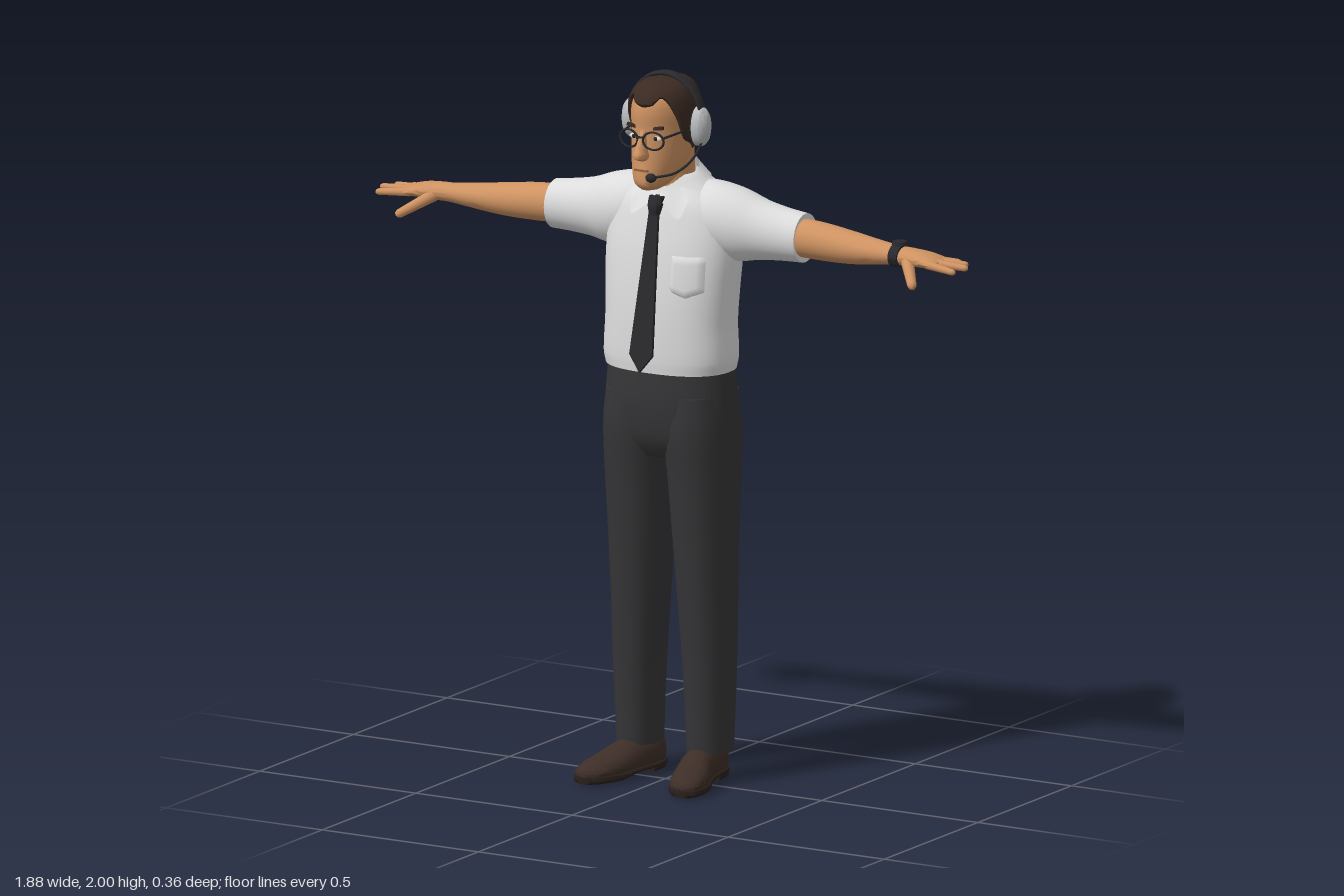
import * as THREE from 'three';
import { toCreasedNormals } from 'three/addons/utils/BufferGeometryUtils.js';

const mat = (name, color, side = THREE.FrontSide) => {
  const m = new THREE.MeshStandardMaterial({ color, side });
  m.name = name;
  return m;
};

// Smooth interpolation of a table whose first column is the parameter
function at(rows, s) {
  let i = 0;
  while (i < rows.length - 2 && s > rows[i + 1][0]) i++;
  const a = rows[i], b = rows[i + 1], p = rows[i - 1] || a, q = rows[i + 2] || b;
  const h = b[0] - a[0], t = Math.min(1, Math.max(0, (s - a[0]) / h)), t2 = t * t, t3 = t2 * t;
  return a.map((_, k) => {
    const m0 = (b[k] - p[k]) / (b[0] - p[0]) * h, m1 = (q[k] - a[k]) / (q[0] - a[0]) * h;
    return (2 * t3 - 3 * t2 + 1) * a[k] + (t3 - 2 * t2 + t) * m0 + (3 * t2 - 2 * t3) * b[k] + (t3 - t2) * m1;
  });
}

// Grid of points fn(u, v); closed joins the u ends
function grid(fn, nu, nv, closed = false) {
  const pos = [], idx = [], w = closed ? nu : nu + 1;
  for (let j = 0; j <= nv; j++) for (let i = 0; i < w; i++) pos.push(...fn(i / nu, j / nv));
  for (let j = 0; j < nv; j++) for (let i = 0; i < nu; i++) {
    const a = j * w + i, b = j * w + (i + 1) % w;
    idx.push(a, b, a + w, b, b + w, a + w);
  }
  const g = new THREE.BufferGeometry();
  g.setAttribute('position', new THREE.Float32BufferAttribute(pos, 3));
  g.setIndex(idx);
  return toCreasedNormals(g, 1.0);
}

// Capped body through oval sections [s, centreA, centreB, radiusA, radiusB] along an axis
function body(rows, axis, { n = 2, lo = -1, seg = 28 } = {}) {
  const rings = [], steps = (rows.length - 1) * 4;
  for (let k = 0; k < rows.length - 1; k++)
    for (let j = 0; j < 4; j++) rings.push(at(rows, rows[k][0] + (rows[k + 1][0] - rows[k][0]) * j / 4));
  rings.push(rows[rows.length - 1]);
  const cap = r => [r[0], r[1], r[2], 0, 0];
  rings.unshift(cap(rings[0]));
  rings.push(cap(rings[steps + 1]));
  const pw = c => Math.sign(c) * Math.pow(Math.abs(c), 2 / n);
  return grid((u, v) => {
    const [s, a, b, ra, rb] = rings[Math.round(v * (steps + 2))], t = u * Math.PI * 2;
    const c = pw(Math.cos(t)), d = pw(Math.sin(t));
    const p = axis === 'y' ? [a + ra * d, s, b + rb * c]
      : axis === 'x' ? [s, a + ra * c, b + rb * d] : [a + ra * c, b + rb * d, s];
    p[1] = Math.max(p[1], lo);
    return p;
  }, seg, steps + 2, true);
}

// Rounded tapering rod between two points
function rod(p, q, r0, r1) {
  const a = new THREE.Vector3(...p), d = new THREE.Vector3(...q).sub(a), L = d.length();
  const pts = [[0, -r0], [r0 * 0.7, -r0 * 0.7], [r0, 0], [r1, L - r1], [r1 * 0.7, L - r1 * 0.3], [0, L]];
  const g = new THREE.LatheGeometry(pts.map(v => new THREE.Vector2(...v)), 10);
  g.applyQuaternion(new THREE.Quaternion().setFromUnitVectors(new THREE.Vector3(0, 1, 0), d.normalize()));
  return g.translate(a.x, a.y, a.z);
}

// Rows of [y, halfWidth, front z, back z] become body sections
const upright = rows => rows.map(([y, w, f, b]) => [y, 0, (f + b) / 2, w, (f - b) / 2]);

const HEAD = upright([[1.685, .024, .112, .04], [1.70, .045, .13, .0], [1.73, .06, .132, -.045], [1.77, .072, .127, -.08],
  [1.82, .079, .122, -.103], [1.86, .081, .12, -.108], [1.90, .081, .122, -.108], [1.935, .073, .114, -.102],
  [1.96, .056, .09, -.083], [1.973, .034, .055, -.055], [1.98, .006, .01, -.02]]);
const TORSO = upright([[1.165, .187, .098, -.16], [1.2, .194, .1, -.162], [1.3, .19, .097, -.162], [1.4, .195, .088, -.167],
  [1.5, .2, .072, -.174], [1.58, .195, .052, -.174], [1.63, .175, .036, -.165], [1.67, .125, .015, -.15], [1.71, .07, .0, -.12]]);
const frontZ = (rows, x, y, n = 2) => {
  const [, , z, w, r] = at(rows, y);
  return z + r * Math.pow(Math.max(0, 1 - Math.pow(Math.abs(x) / w, n)), 1 / n);
};

export function createModel() {
  const root = new THREE.Group();
  const skin = mat('skin', 0xcf9362), cloth = mat('shirt white', 0xdcdcdc, THREE.DoubleSide);
  const trouser = mat('trouser charcoal', 0x353537), leather = mat('shoe brown', 0x3d2e27);
  const sole = mat('sole brown', 0x2a201c), hair = mat('hair brown', 0x3b2a22);
  const dark = mat('dark grey', 0x29292d), grey = mat('headset grey', 0xb9bbbc);
  const lip = mat('lip', 0x9a6045), white = mat('eye white', 0xe6e0d8);

  const add = (name, geo, m) => {
    const mesh = new THREE.Mesh(geo, m);
    mesh.name = name;
    root.add(mesh);
    return mesh;
  };
  const pair = (name, geo, m) => {
    add('left ' + name, geo, m);
    add('right ' + name, geo, m).scale.x = -1;
  };
  const ball = (x, y, z, a, b, c) => new THREE.SphereGeometry(1, 14, 10).scale(a, b, c).translate(x, y, z);
  const box = (x, y, z, a, b, c, rz = 0) => new THREE.BoxGeometry(a, b, c).rotateZ(rz).translate(x, y, z);

  // Trousers
  add('hips', body([[.92, 0, -.037, .165, .09], [.96, 0, -.037, .186, .116], [1.0, 0, -.037, .192, .128],
    [1.08, 0, -.036, .191, .134], [1.18, 0, -.033, .183, .122]], 'y', { n: 2.3 }), trouser);
  pair('trouser leg', body([[.085, .112, -.052, .058, .077], [.3, .112, -.05, .066, .086], [.5, .107, -.048, .074, .097],
    [.7, .103, -.043, .083, .107], [.88, .1, -.04, .092, .119], [1.0, .095, -.038, .097, .129], [1.1, .095, -.037, .088, .122]], 'y', { n: 2.2 }), trouser);

  // Shoes
  const shoe = [[-.125, .1, .05, .025, .035], [-.1, .1, .052, .042, .058], [-.03, .105, .05, .048, .055], [.03, .117, .045, .052, .054],
    [.09, .135, .035, .056, .04], [.14, .147, .03, .05, .029], [.17, .154, .026, .034, .02], [.18, .156, .024, .014, .01]];
  pair('shoe', body(shoe, 'z', { lo: .02 }), leather);
  pair('sole', body(shoe.map(([z, x, , r]) => [z, x, z < .05 ? .021 : .013, r + .003, z < .05 ? .008 : .013]), 'z', { n: 4 }), sole);
  pair('heel', body([[-.124, .1, .013, .026, .013], [-.1, .1, .013, .042, .013], [-.035, .104, .013, .048, .013]], 'z', { n: 4 }), sole);

  // Shirt
  add('shirt body', body(TORSO, 'y', { n: 2.4, seg: 40 }), cloth);
  pair('sleeve', body([[.05, 1.585, -.07, .105, .08], [.13, 1.585, -.07, .105, .095], [.2, 1.575, -.073, .102, .09],
    [.27, 1.568, -.077, .084, .076], [.34, 1.563, -.08, .074, .068], [.40, 1.56, -.08, .069, .064]], 'x'), cloth);
  const flap = [[.08, .008, 1.65, .05], [.6, .074, 1.6, .06], [1.0, .09, 1.645, .03], [1.6, .103, 1.68, -.04],
    [2.4, .075, 1.695, -.118], [3.15, 0, 1.7, -.142]];
  add('collar', grid((u, v) => {
    const t = .08 + u * (Math.PI * 2 - .16), s = t > Math.PI ? -1 : 1, k = Math.min(t, Math.PI * 2 - t);
    const [, x, y, z] = at(flap, k);
    const top = [.07 * Math.sin(k), 1.665 + .04 * (1 - Math.cos(k)), -.042 + .075 * Math.cos(k)];
    return [s * (x + (top[0] - x) * v), y + (top[1] - y) * v, z + (top[2] - z) * v];
  }, 64, 4), cloth);
  add('chest pocket', grid((u, v) => {
    const x = .06 + .095 * u, y = 1.5 - (1 - v) * (.1 + .018 * (1 - Math.abs(2 * u - 1)));
    const edge = u === 0 || u === 1 || v === 0 || v === 1;
    return [x, y, frontZ(TORSO, x, y, 2.4) + (edge ? -.002 : .008)];
  }, 10, 10), cloth);

  // Tie
  const blade = new THREE.Shape([[-.014, 0], [-.036, -.405], [0, -.452], [.036, -.405], [.014, 0]].map(p => new THREE.Vector2(...p)));
  add('tie blade', new THREE.ExtrudeGeometry(blade, { depth: .01, bevelEnabled: false })
    .rotateX(-.174).translate(0, 1.62, .055), dark);
  add('tie knot', body([[1.605, 0, .058, .014, .012], [1.63, 0, .055, .02, .017], [1.655, 0, .045, .022, .016]], 'y', { n: 3 }), dark);

  // Arms and hands
  pair('forearm', body([[.36, 1.562, -.075, .053, .052], [.45, 1.56, -.072, .053, .053], [.55, 1.555, -.068, .046, .05],
    [.65, 1.555, -.058, .034, .041], [.71, 1.556, -.053, .027, .035], [.75, 1.556, -.053, .025, .04],
    [.8, 1.555, -.051, .021, .049], [.84, 1.551, -.05, .015, .05], [.855, 1.55, -.05, .009, .045]], 'x'), skin);
  [['index finger', [.83, 1.551, -.014], [.928, 1.543, .002], .0125], ['middle finger', [.84, 1.552, -.04], [.941, 1.547, -.046], .0125],
    ['ring finger', [.835, 1.552, -.065], [.918, 1.547, -.087], .012], ['little finger', [.82, 1.55, -.086], [.88, 1.545, -.112], .011],
    ['thumb', [.76, 1.547, -.025], [.828, 1.5, .062], .018]].forEach(([name, p, q, r]) => pair(name, rod(p, q, r, r * .72), skin));

  // Wristwatch
  add('watch strap', body([[.703, 1.556, -.053, .033, .041], [.732, 1.556, -.053, .033, .043]], 'x'), dark);
  add('watch dial', new THREE.CylinderGeometry(.02, .022, .01, 20).translate(.718, 1.591, -.053), dark);

  // Head and face
  add('neck', body([[1.63, 0, -.05, .065, .06], [1.7, 0, -.045, .06, .06], [1.79, 0, -.03, .062, .066]], 'y'), skin);
  add('head', body(HEAD, 'y', { seg: 36 }), skin);
  add('nose', body([[1.772, 0, .125, .012, .012], [1.782, 0, .13, .021, .03], [1.81, 0, .125, .014, .026], [1.855, 0, .115, .009, .012]], 'y', { seg: 16 }), skin);
  pair('ear', ball(.082, 1.845, -.005, .012, .034, .02), skin);
  pair('eye', ball(.036, 1.834, frontZ(HEAD, .036, 1.834), .015, .007, .004), white);
  pair('pupil', ball(.035, 1.834, frontZ(HEAD, .035, 1.834) + .002, .006, .006, .004), dark);
  pair('eyebrow', box(.037, 1.863, frontZ(HEAD, .037, 1.863), .04, .009, .009, .14).translate(0, 0, .001), hair);
  add('mouth', box(0, 1.744, frontZ(HEAD, 0, 1.744) - .001, .042, .006, .006), lip);

  // Hair, lying over the head from the hairline up
  const line = [[0, 1.918], [.35, 1.925], [.6, 1.943], [.85, 1.925], [1.1, 1.875], [1.3, 1.825], [1.7, 1.8], [2.2, 1.772], [3.15, 1.763]];
  add('hair', grid((u, v) => {
    const t = u * Math.PI * 2, low = at(line, Math.min(t, Math.PI * 2 - t))[1];
    const y = low + (1.98 - low) * v, [, , z, w, r] = at(HEAD, y);
    const off = (-.003 + .014 * Math.min(1, v * 8)) * (v > .99 ? 0 : 1);
    return [(w + off) * Math.sin(t), y + .008 * v, z + (r + off) * Math.cos(t)];
  }, 56, 20, true), hair);

  // Glasses
  pair('lens rim', new THREE.TorusGeometry(.028, .0032, 8, 28).scale(1.1, .88, 1).rotateY(.15).translate(.039, 1.832, .131), dark);
  add('glasses bridge', box(0, 1.84, .139, .022, .005, .005), dark);
  pair('glasses arm', rod([.068, 1.842, .126], [.089, 1.85, .0], .0035, .003), dark);

  // Headset
  add('headband', new THREE.TorusGeometry(.125, .007, 10, 40, Math.PI).scale(.95, 1.06, 2.6).translate(0, 1.86, -.007), dark);
  pair('ear cushion', body([[.082, 1.855, -.005, .046, .028], [.1, 1.855, -.005, .052, .032]], 'x'), dark);
  pair('ear cup', body([[.097, 1.855, -.005, .055, .033], [.118, 1.855, -.005, .054, .032], [.13, 1.855, -.005, .042, .023]], 'x'), grey);
  const boom = [[.12, 1.82, 0], [.115, 1.775, .045], [.092, 1.743, .1], [.048, 1.733, .148]].map(p => new THREE.Vector3(...p));
  add('microphone boom', new THREE.TubeGeometry(new THREE.CatmullRomCurve3(boom), 24, .0035, 8), dark);
  add('microphone', ball(.044, 1.733, .152, .016, .013, .014), dark);

  return root;
}
